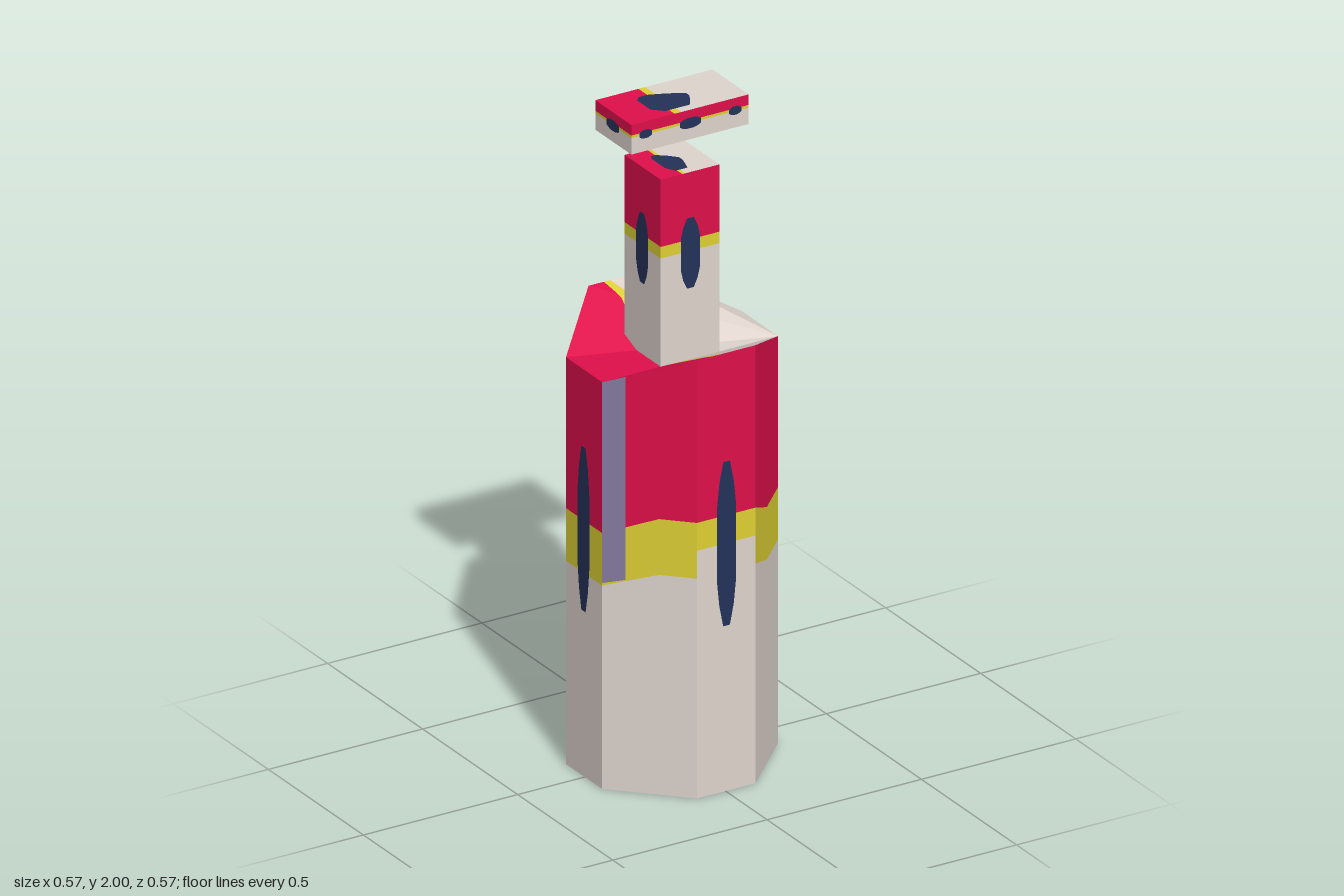
import * as THREE from 'three';

const colours = { cream: 0xe0d5ce, crimson: 0xe00f4b, yellow: 0xdfd135, navy: 0x243259, mauve: 0x877da2 };
const mats = {};
for (const [name, color] of Object.entries(colours)) {
  mats[name] = new THREE.MeshStandardMaterial({ color });
  mats[name].name = name;
}

// Flat polygon in a local xy plane, facing local +z
function panel(parent, name, mat, pts) {
  const shape = new THREE.Shape(pts.map(p => new THREE.Vector2(p[0], p[1])));
  const mesh = new THREE.Mesh(new THREE.ShapeGeometry(shape), mats[mat]);
  mesh.name = name;
  parent.add(mesh);
  return mesh;
}

function holder(parent, name) {
  const g = new THREE.Group();
  g.name = name;
  parent.add(g);
  return g;
}

// Keep the part of a convex polygon where the linear function f is >= 0
function clip(poly, f) {
  const out = [];
  poly.forEach((a, i) => {
    const b = poly[(i + 1) % poly.length], fa = f(a), fb = f(b);
    if (fa >= 0) out.push(a);
    if (fa * fb < 0) out.push(a.map((v, k) => v + (b[k] - v) * fa / (fa - fb)));
  });
  return out;
}

// Tall rounded spot
function spot(parent, cx, cy, hw, hh) {
  const quarter = [[1, 0], [1, 0.45], [0.75, 0.75], [0.35, 1]];
  const right = [...quarter.slice(1).reverse().map(([x, y]) => [x, -y]), ...quarter];
  const pts = [...right, ...right.map(([x, y]) => [-x, -y])];
  panel(parent, 'spot', 'navy', pts.map(([x, y]) => [cx + x * hw, cy + y * hh])).position.z = 0.002;
}

// Horizontal face split into crimson, yellow and cream across x, with a navy blotch
const blotch = [[-0.095, -0.03], [-0.08, -0.045], [-0.05, -0.045], [0, -0.025], [0.045, 0],
  [0.045, 0.02], [0.015, 0.07], [-0.065, 0.07], [-0.095, 0.04]];
function flatFace(parent, name, outline, y, up, x0, x1, sx, sz) {
  const g = holder(parent, name), s = up ? -1 : 1;
  g.position.y = y;
  g.rotation.x = s * Math.PI / 2;
  const toLocal = pts => pts.map(([x, z]) => [x, s * z]);
  panel(g, 'crimsonPart', 'crimson', toLocal(clip(outline, p => x0 - p[0])));
  panel(g, 'yellowPart', 'yellow', toLocal(clip(clip(outline, p => p[0] - x0), p => x1 - p[0])));
  panel(g, 'creamPart', 'cream', toLocal(clip(outline, p => p[0] - x1)));
  panel(g, 'blotch', 'navy', toLocal(blotch.map(([x, z]) => [x * sx, z * sz]))).position.z = 0.002;
}

// Box painted with bands and spots on all four sides
function paintedBox(root, name, hx, hz, ys, spots, x0, x1, sx) {
  const g = holder(root, name);
  for (let i = 0; i < 4; i++) {
    const side = holder(g, 'side'), a = i * Math.PI / 2;
    const hw = i % 2 ? hz : hx, d = i % 2 ? hx : hz;
    side.rotation.y = a;
    side.position.set(Math.sin(a) * d, 0, Math.cos(a) * d);
    ['cream', 'yellow', 'crimson'].forEach((m, k) =>
      panel(side, m + 'Band', m, [[-hw, ys[k]], [hw, ys[k]], [hw, ys[k + 1]], [-hw, ys[k + 1]]]));
    for (const [u, y, w, h] of spots) if (Math.abs(u) < hw) spot(side, u, y, w, h);
  }
  const outline = [[-hx, -hz], [hx, -hz], [hx, hz], [-hx, hz]];
  flatFace(g, 'topFace', outline, ys[3], true, x0, x1, sx, 1);
  flatFace(g, 'bottomFace', outline, ys[0], false, x0, x1, sx, 1);
}

// Octagon corners as x, height, z
const A = 0.285, B = 0.095, HI = 1.335, LO = 1.24;
const ring = [[A, LO, B], [A, LO, -B], [B, HI, -A], [-B, HI, -A], [-A, LO, -B], [-A, LO, B], [-B, HI, A], [B, HI, A]];

// Band rise at the start, kink and end of each side, then the kink's place
const rises = [[0, 0, 0, 0.5], [0, 1, 1, 0.65], [1, 1, 1, 0.5], [1, 0, 0, 0.5],
  [0, 0, 0, 0.5], [0, 1, 1, 0.6], [1, 1, 1, 0.5], [1, 0, 0, 0.5]];

function bodySides(body) {
  rises.forEach(([r0, rk, r1, k], i) => {
    const a = ring[i], b = ring[(i + 1) % 8];
    const w = Math.hypot(b[0] - a[0], b[2] - a[2]);
    const mx = (a[0] + b[0]) / 2, mz = (a[2] + b[2]) / 2;
    const side = holder(body, 'bodySide');
    side.position.set(mx, 0, mz);
    side.rotation.y = Math.atan2(mx, mz);
    const line = (base, rise) => [[-w / 2, base + rise * r0], [(k - 0.5) * w, base + rise * rk], [w / 2, base + rise * r1]];
    const low = i === 6 ? line(0.755, 0) : line(0.62, 0.05), high = line(0.78, 0.06);
    const between = (lo, hi) => [...lo, ...hi.slice().reverse()];
    const top = [[-w / 2, a[1]], [w / 2, b[1]]];
    panel(side, 'creamBand', 'cream', between([[-w / 2, 0], [w / 2, 0]], low));
    panel(side, 'yellowBand', 'yellow', between(low, high));
    panel(side, 'crimsonBand', 'crimson', between(high, top));
    if (i === 4 || i === 6) spot(side, 0, 0.755, 0.031, 0.25);
    // Mauve strip on the front right bevel
    if (i === 5) {
      const e = -w / 2 + 0.25 * w;
      panel(side, 'mauveStrip', 'mauve', [[-w / 2, 0.628], [e, 0.645], [e, LO + 0.25 * (HI - LO)], [-w / 2, LO]]).position.z = 0.001;
    }
  });
}

// Folded shoulder: a fan of triangles cut along the bent yellow stripe
function shoulder(body) {
  const rows = [[-0.285, -0.045, -0.025], [-0.21, -0.035, -0.003], [-0.095, -0.057, -0.022],
    [0.095, -0.07, -0.035], [0.23, -0.035, -0.003], [0.285, -0.045, -0.02]];
  const patch = [[-0.07, -0.09], [0.058, -0.09], [0.058, -0.126], [0.04, -0.121], [-0.07, -0.099]];
  const faces = { crimson: [], yellow: [], cream: [], navy: [] };
  const add = (m, poly, lift = 0) => {
    for (let j = 1; j < poly.length - 1; j++)
      for (const p of [poly[0], poly[j], poly[j + 1]]) faces[m].push(p[0], p[1] + lift, p[2]);
  };
  for (let i = 1; i < 7; i++) {
    const tri = [ring[0], ring[i], ring[i + 1]];
    for (let r = 0; r < 5; r++) {
      const [z0, l0, r0] = rows[r], [z1, l1, r1] = rows[r + 1];
      const strip = clip(clip(tri, p => p[2] - z0), p => z1 - p[2]);
      const left = p => p[0] - l0 - (l1 - l0) * (p[2] - z0) / (z1 - z0);
      const right = p => p[0] - r0 - (r1 - r0) * (p[2] - z0) / (z1 - z0);
      add('crimson', clip(strip, p => -left(p)));
      add('yellow', clip(clip(strip, left), p => -right(p)));
      add('cream', clip(strip, right));
    }
    let mark = tri;
    patch.forEach((a, j) => {
      const b = patch[(j + 1) % patch.length];
      mark = clip(mark, p => (b[1] - a[1]) * (p[0] - a[0]) - (b[0] - a[0]) * (p[2] - a[1]));
    });
    add('navy', mark, 0.003);
  }
  for (const [m, pos] of Object.entries(faces)) {
    const geo = new THREE.BufferGeometry();
    geo.setAttribute('position', new THREE.Float32BufferAttribute(pos, 3));
    geo.computeVertexNormals();
    const mesh = new THREE.Mesh(geo, mats[m]);
    mesh.name = m + 'Shoulder';
    body.add(mesh);
  }
}

export function createModel() {
  const root = new THREE.Group();
  root.name = 'bottle';

  const body = holder(root, 'body');
  bodySides(body);
  shoulder(body);
  flatFace(body, 'base', ring.map(p => [p[0], p[2]]), 0, false, -0.055, -0.03, 1.3, 1.5);

  paintedBox(root, 'neck', 0.095, 0.095, [1.24, 1.57, 1.605, 1.81], [[0, 1.565, 0.031, 0.107]], -0.025, -0.015, 0.5);
  paintedBox(root, 'stopper', 0.19, 0.095, [1.91, 1.96, 1.968, 2],
    [[-0.145, 1.963, 0.02, 0.013], [0, 1.961, 0.034, 0.016], [0.145, 1.963, 0.02, 0.013]], -0.05, -0.028, 1);
  return root;
}
